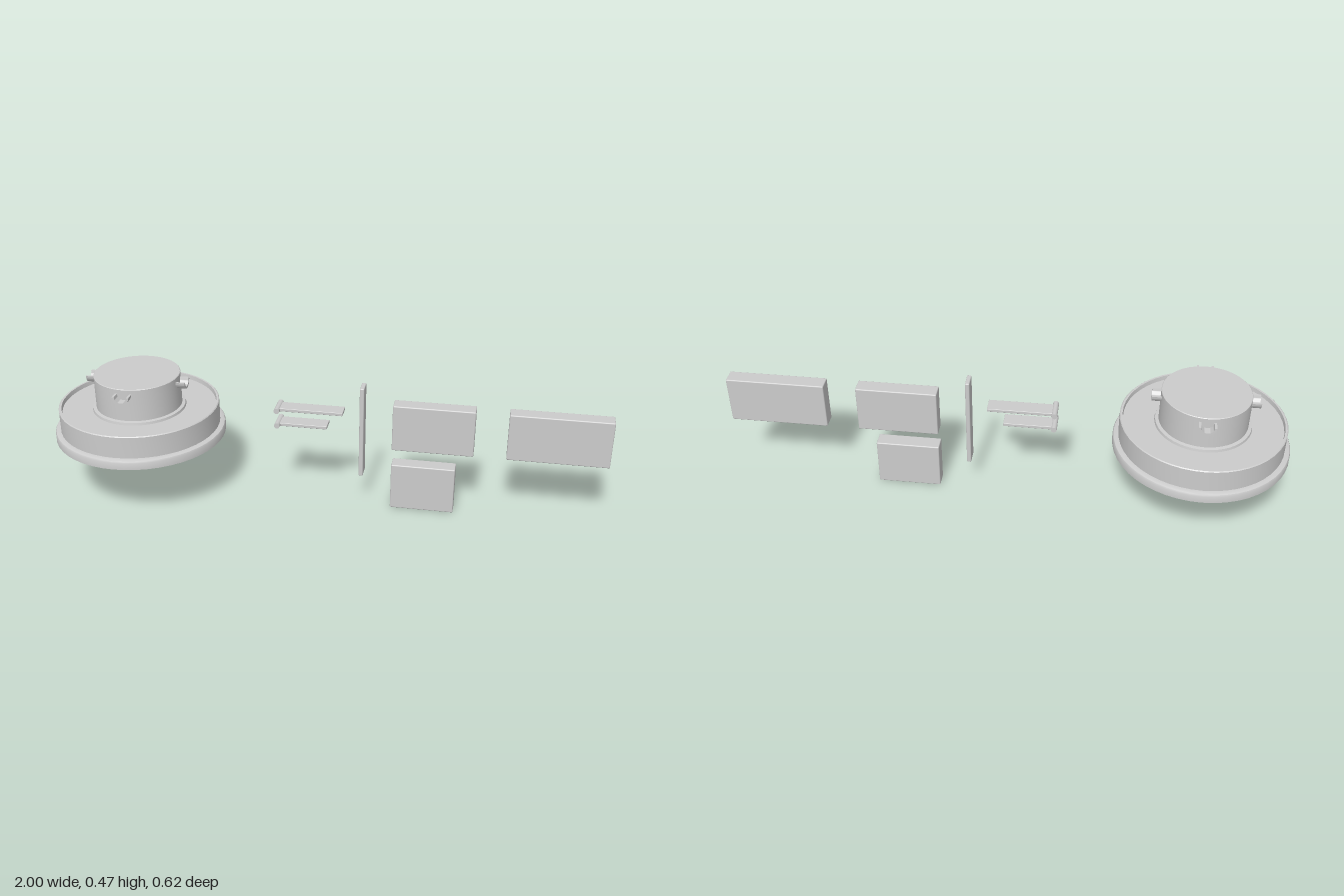
import * as THREE from 'three';
import { toCreasedNormals } from 'three/addons/utils/BufferGeometryUtils.js';
import { RoundedBoxGeometry } from 'three/addons/geometries/RoundedBoxGeometry.js';

const material = new THREE.MeshStandardMaterial({ color: 0xcccccc });

function addMesh(parent, name, geometry, x = 0, y = 0, z = 0) {
  const mesh = new THREE.Mesh(geometry, material);
  mesh.name = name;
  mesh.position.set(x, y, z);
  parent.add(mesh);
  return mesh;
}

// Half-round trough, extruded along +z
function channelGeometry(outer, inner, length) {
  const shape = new THREE.Shape();
  shape.absarc(0, 0, outer, Math.PI, 2 * Math.PI, false);
  shape.lineTo(inner, 0);
  shape.absarc(0, 0, inner, 2 * Math.PI, Math.PI, true);
  shape.closePath();
  const geo = new THREE.ExtrudeGeometry(shape, { depth: length, bevelEnabled: false, curveSegments: 12 });
  return toCreasedNormals(geo, 0.6);
}

// Block given by its extents in x and y; all blocks share the same depth
function addBlock(parent, name, x0, x1, y0, y1, radius) {
  const depth = 0.057;
  const geo = new RoundedBoxGeometry(x1 - x0, y1 - y0, depth, 2, radius);
  return addMesh(parent, name, geo, (x0 + x1) / 2, (y0 + y1) / 2, -depth / 2);
}

export function createModel() {
  const model = new THREE.Group();
  model.name = 'partsSet';

  // Stepped hollow cap: up the outside to the axis, then back down the inside
  const cap = new THREE.Group();
  cap.name = 'steppedCap';
  cap.position.x = -0.69;
  model.add(cap);
  const profile = [
    [0.31, 0.235], [0.31, 0.26], [0.307, 0.266], [0.3, 0.269], [0.29, 0.27],
    [0.29, 0.349], [0.287, 0.352], [0.28, 0.352], [0.278, 0.336],
    [0.169, 0.336], [0.167, 0.345], [0.155, 0.347],
    [0.155, 0.465], [0.153, 0.467], [0, 0.467],
    [0, 0.457], [0.145, 0.457], [0.145, 0.325], [0.278, 0.325],
    [0.278, 0.268], [0.298, 0.258], [0.298, 0.235], [0.31, 0.235],
  ].map(([r, y]) => new THREE.Vector2(r, y));
  addMesh(cap, 'capShell', toCreasedNormals(new THREE.LatheGeometry(profile, 48), 0.6));

  // Four trough-shaped spouts through the upper wall
  const spout = channelGeometry(0.03, 0.022, 0.047);
  for (let i = 0; i < 4; i++) {
    const arm = new THREE.Group();
    arm.name = 'spoutArm';
    arm.rotation.y = i * Math.PI / 2;
    cap.add(arm);
    addMesh(arm, 'spout', spout, 0, 0.45, 0.138);
  }

  // Two flat pins with a rolled head
  for (const [y, end] of [[0.361, 0.062], [0.303, 0.005]]) {
    const pin = new THREE.Group();
    pin.name = 'pin';
    model.add(pin);
    addBlock(pin, 'pinBlade', -0.175, end, y - 0.006, y + 0.006, 0.002);
    const head = new THREE.CylinderGeometry(0.0105, 0.0105, 0.08, 20);
    head.rotateX(Math.PI / 2);
    addMesh(pin, 'pinHead', head, -0.175, y, -0.026);
  }

  // Upright strip and three plates
  addBlock(model, 'uprightStrip', 0.122, 0.138, 0.12, 0.467, 0.004);
  addBlock(model, 'mediumPlate', 0.24, 0.53, 0.236, 0.41, 0.004);
  addBlock(model, 'largePlate', 0.645, 1.0, 0.236, 0.41, 0.004);
  addBlock(model, 'smallPlate', 0.24, 0.47, 0, 0.176, 0.004);

  return model;
}
